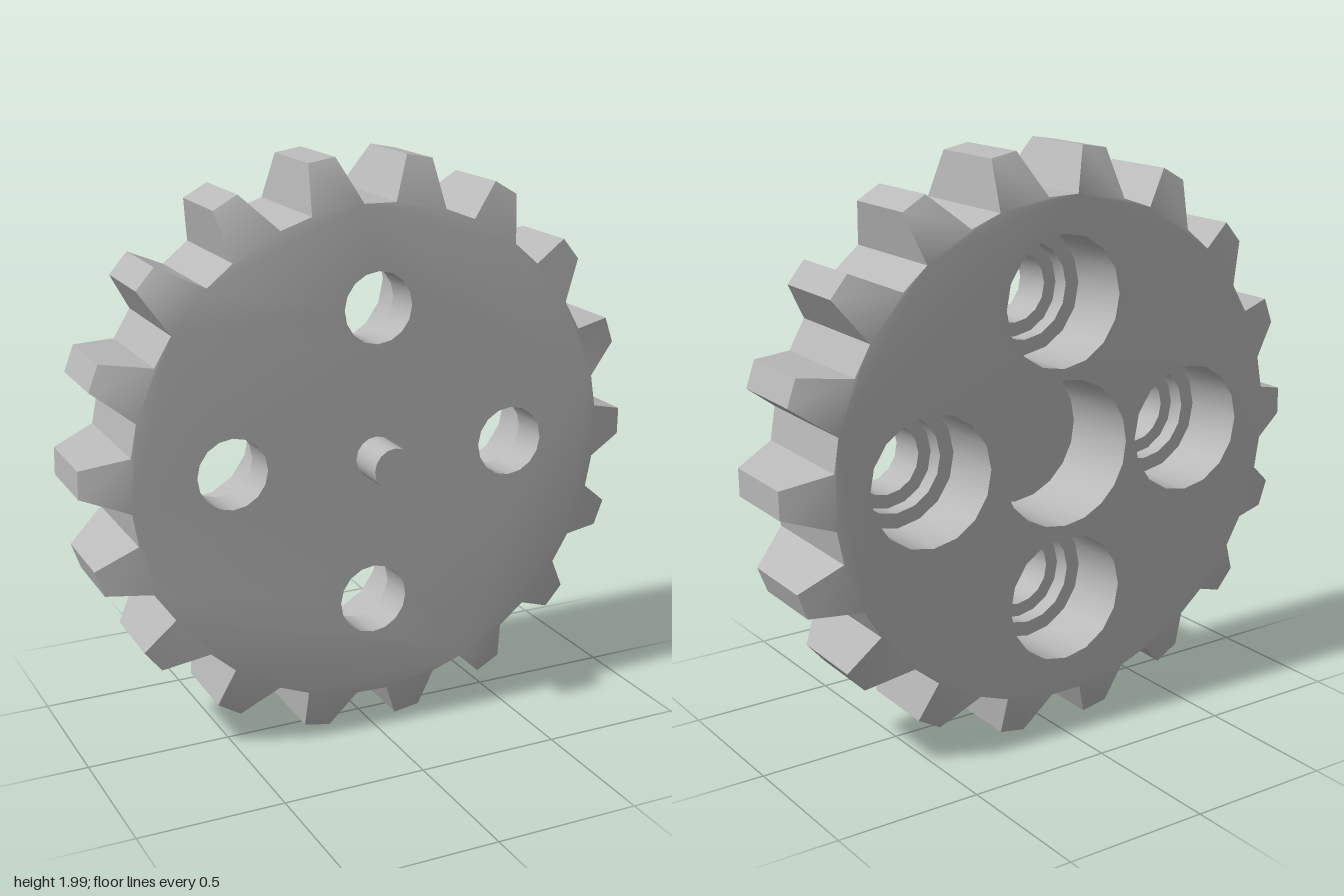
import * as THREE from 'three';
import { mergeGeometries, toCreasedNormals } from 'three/addons/utils/BufferGeometryUtils.js';

const TEETH = 18, ROOT = 0.85, TIP = 0.998;
const FRONT = 0.148, BACK = -0.286, BEVEL = 0.075;
const ROOT_HALF = THREE.MathUtils.degToRad(6.2), TIP_HALF = 0.047;
const CREASE = 0.56;

const polar = (r, a, z = 0, cx = 0, cy = 0) =>
  new THREE.Vector3(cx + r * Math.cos(a), cy + r * Math.sin(a), z);

// Collects quads into an unindexed geometry
function quadBuilder() {
  const pos = [];
  return {
    quad(a, b, c, d) {
      for (const p of [a, b, c, a, c, d]) pos.push(p.x, p.y, p.z);
    },
    build() {
      const g = new THREE.BufferGeometry();
      g.setAttribute('position', new THREE.Float32BufferAttribute(pos, 3));
      return g;
    },
  };
}

function positionsOnly(geometry) {
  const g = geometry.index ? geometry.toNonIndexed() : geometry;
  g.deleteAttribute('uv');
  g.deleteAttribute('normal');
  return g;
}

function circlePoints(r, n, cx, cy) {
  return Array.from({ length: n }, (_, i) => {
    const p = polar(r, (i / n) * Math.PI * 2, 0, cx, cy);
    return new THREE.Vector2(p.x, p.y);
  });
}

// Flat gear face with round holes
function gearFace(outline, holes, z, flip) {
  const shape = new THREE.Shape(outline);
  for (const h of holes) shape.holes.push(new THREE.Path(circlePoints(h.r, h.n, h.x, h.y)));
  const g = new THREE.ShapeGeometry(shape);
  if (flip) {
    const idx = g.index.array;
    for (let i = 0; i < idx.length; i += 3) [idx[i], idx[i + 1]] = [idx[i + 1], idx[i]];
  }
  g.translate(0, 0, z);
  return positionsOnly(g);
}

// Inward-facing stepped bore; profile lists [radius, z] from back to front
function boreWall(profile, n, cx, cy) {
  const b = quadBuilder();
  for (let k = 0; k < profile.length - 1; k++) {
    const [rA, zA] = profile[k], [rB, zB] = profile[k + 1];
    for (let i = 0; i < n; i++) {
      const t0 = (i / n) * Math.PI * 2, t1 = ((i + 1) / n) * Math.PI * 2;
      b.quad(polar(rA, t0, zA, cx, cy), polar(rB, t0, zB, cx, cy),
        polar(rB, t1, zB, cx, cy), polar(rA, t1, zA, cx, cy));
    }
  }
  return b.build();
}

export function createModel() {
  const metal = new THREE.MeshStandardMaterial({ color: 0xb8b8b8 });
  metal.name = 'grey metal';

  const N = 16;
  const holeCentres = [0, 1, 2, 3].map(i => polar(0.507, i * Math.PI / 2));
  const frontHoles = holeCentres.map(c => ({ x: c.x, y: c.y, r: 0.121, n: N }));
  const backHoles = holeCentres.map(c => ({ x: c.x, y: c.y, r: 0.22, n: N }));
  backHoles.push({ x: 0, y: 0, r: 0.25, n: 20 });

  // Toothed rim: bevelled teeth with flat valleys between them
  const rim = quadBuilder();
  const outline = [];
  const tipHalf = Math.asin(TIP_HALF / TIP);
  const step = (Math.PI * 2) / TEETH;
  for (let i = 0; i < TEETH; i++) {
    const a = i * step;
    const corner = (r, t) => ({
      f: polar(r, t, r === TIP ? FRONT - BEVEL : FRONT),
      b: polar(r, t, r === TIP ? BACK + BEVEL : BACK),
    });
    const ring = [
      corner(ROOT, a - ROOT_HALF), corner(TIP, a - tipHalf), corner(TIP, a + tipHalf),
      corner(ROOT, a + ROOT_HALF), corner(ROOT, a + step - ROOT_HALF),
    ];
    for (let k = 0; k < 4; k++) rim.quad(ring[k].f, ring[k].b, ring[k + 1].b, ring[k + 1].f);
    rim.quad(ring[0].f, ring[1].f, ring[2].f, ring[3].f);
    rim.quad(ring[3].b, ring[2].b, ring[1].b, ring[0].b);
    for (const k of [0, 3]) outline.push(new THREE.Vector2(ring[k].f.x, ring[k].f.y));
  }

  const wheelGeometry = toCreasedNormals(mergeGeometries([
    rim.build(),
    gearFace(outline, frontHoles, FRONT, false),
    gearFace(outline, backHoles, BACK, true),
  ]), CREASE);

  const gear = new THREE.Group();
  gear.name = 'gear';
  const add = (name, geometry) => {
    const mesh = new THREE.Mesh(geometry, metal);
    mesh.name = name;
    gear.add(mesh);
    return mesh;
  };
  add('toothedWheel', wheelGeometry);

  // Four stepped through holes
  const boreProfile = [
    [0.22, BACK], [0.22, BACK + 0.23], [0.168, BACK + 0.23],
    [0.168, BACK + 0.29], [0.121, BACK + 0.29], [0.121, FRONT],
  ];
  holeCentres.forEach((c, i) =>
    add('throughHole' + (i + 1), toCreasedNormals(boreWall(boreProfile, N, c.x, c.y), CREASE)));

  // Blind recess in the middle of the back
  const floorZ = BACK + 0.3;
  add('backRecessWall', toCreasedNormals(boreWall([[0.25, BACK], [0.25, floorZ]], 20, 0, 0), CREASE));
  add('backRecessFloor', new THREE.CircleGeometry(0.25, 20).rotateY(Math.PI).translate(0, 0, floorZ));

  // Short axle pin on the front
  add('axlePin', new THREE.CylinderGeometry(0.072, 0.072, 0.17, 16).rotateX(Math.PI / 2))
    .position.z = 0.21;

  // The gear sits very slightly turned
  gear.rotation.set(-0.005, -0.02, -0.018);
  gear.position.set(-0.002, 1, 0);

  const model = new THREE.Group();
  model.name = 'gearWheel';
  model.add(gear);
  return model;
}
